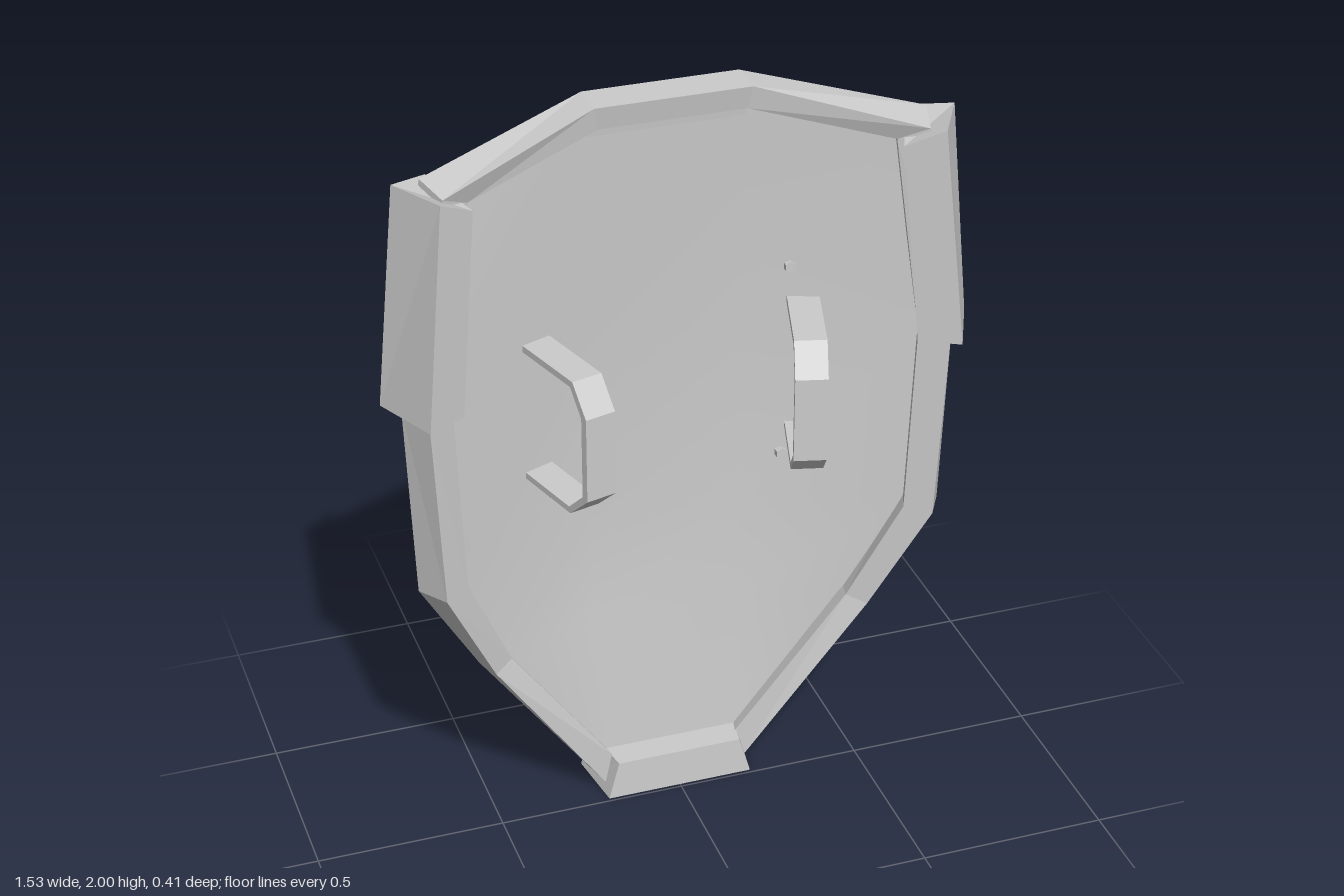
import * as THREE from 'three';

const flatMat = new THREE.MeshStandardMaterial({ color: 0xcccccc, flatShading: true });
const smoothMat = new THREE.MeshStandardMaterial({ color: 0xcccccc, side: THREE.DoubleSide });

// Skins matching loops of points; the ends are capped unless the ring closes.
function loft(loops, closed = false) {
  const tris = [];
  const n = loops[0].length;
  const last = closed ? loops.length : loops.length - 1;
  for (let s = 0; s < last; s++) {
    const a = loops[s], b = loops[(s + 1) % loops.length];
    for (let i = 0; i < n; i++) {
      const j = (i + 1) % n;
      tris.push([a[i], a[j], b[j]], [a[i], b[j], b[i]]);
    }
  }
  if (!closed) {
    const a = loops[0], b = loops[loops.length - 1];
    for (let i = 1; i < n - 1; i++) tris.push([a[0], a[i + 1], a[i]], [b[0], b[i], b[i + 1]]);
  }
  // Turn the faces outward by the sign of the enclosed volume
  const v = tris.map(t => t.map(p => new THREE.Vector3(...p)));
  const volume = v.reduce((sum, [a, b, c]) => sum + a.dot(b.clone().cross(c)), 0);
  const points = v.flatMap(([a, b, c]) => (volume < 0 ? [a, c, b] : [a, b, c]));
  const geo = new THREE.BufferGeometry().setFromPoints(points);
  geo.computeVertexNormals();
  return geo;
}

const mirror = loop => loop.map(([x, y, z]) => [-x, y, z]);
const shiftZ = (loop, d) => loop.map(([x, y, z]) => [x, y, z + d]);

export function createModel() {
  const group = new THREE.Group();
  const add = (name, geo, mat = flatMat) => {
    const mesh = new THREE.Mesh(geo, mat);
    mesh.name = name;
    group.add(mesh);
    return mesh;
  };
  const addPair = (name, loops) => {
    add('left' + name, loft(loops));
    add('right' + name, loft(loops.map(mirror)));
  };

  // Rim: corners run outer front, outer back, inner back, inner front
  const rim = [
    [[0.2, 2.0, -0.05], [0.2, 2.0, -0.155], [0.19, 1.93, -0.155], [0.19, 1.94, -0.06]],
    [[0.61, 1.885, 0.08], [0.64, 1.9, -0.02], [0.57, 1.85, -0.06], [0.54, 1.85, 0.04]],
    [[0.675, 1.32, 0.115], [0.72, 1.32, 0.02], [0.64, 1.32, -0.02], [0.605, 1.32, 0.07]],
    [[0.65, 0.8, 0.11], [0.7, 0.79, 0.02], [0.62, 0.82, -0.02], [0.585, 0.81, 0.07]],
    [[0.51, 0.5, 0.03], [0.53, 0.48, -0.065], [0.48, 0.52, -0.09], [0.46, 0.52, 0.0]],
    [[0.2, 0.03, -0.05], [0.22, 0.03, -0.15], [0.19, 0.1, -0.15], [0.17, 0.1, -0.06]],
  ];
  add('rim', loft([...rim, ...rim.map(mirror).reverse()], true));

  // Smooth inner face: each row holds a centre point and an edge point
  const rows = [
    [[0.18, 0.06, -0.09], [0.19, 0.06, -0.09]],
    [[0.2, 0.5, -0.12], [0.485, 0.5, -0.04]],
    [[0.2, 0.8, -0.14], [0.62, 0.8, 0.03]],
    [[0.2, 1.32, -0.14], [0.64, 1.32, 0.03]],
    [[0.2, 1.96, -0.1], [0.58, 1.87, 0.0]],
  ];
  const pts = [], index = [];
  rows.forEach(([c, e], r) => {
    pts.push(...mirror([e, c]), c, e);
    if (r === 0) return;
    for (let i = 0; i < 3; i++) {
      const a = (r - 1) * 4 + i, b = a + 4;
      index.push(a, a + 1, b + 1, a, b + 1, b);
    }
  });
  const inner = new THREE.BufferGeometry().setFromPoints(pts.map(p => new THREE.Vector3(...p)));
  inner.setIndex(index);
  inner.computeVertexNormals();
  add('innerFace', inner, smoothMat);

  // Raised centre column of the outer shell
  const column = [[0.19, 0.06, -0.15], [0.2, 0.8, -0.2], [0.2, 1.32, -0.2], [0.2, 1.94, -0.14]];
  add('centrePanel', loft(column.map(([x, y, z]) =>
    [[-x, y, z], [x, y, z], [x, y, z + 0.04], [-x, y, z + 0.04]])));

  // Raised middle panels with recessed corner panels above and below
  const panel = (name, back, depth) => addPair(name, [back, shiftZ(back, depth)]);
  panel('MiddlePanel', [[0.2, 0.8, -0.2], [0.63, 0.8, -0.03], [0.65, 1.32, -0.03], [0.2, 1.32, -0.2]], 0.04);
  panel('UpperPanel', [[0.2, 1.32, -0.18], [0.65, 1.32, -0.01], [0.58, 1.87, -0.04], [0.2, 1.95, -0.12]], 0.02);
  panel('LowerPanel', [[0.2, 0.8, -0.18], [0.63, 0.8, -0.01], [0.49, 0.5, -0.08], [0.19, 0.06, -0.13]], 0.02);

  // Thick guards over the upper corners
  addPair('EdgeGuard', [
    [[0.765, 1.32, -0.01], [0.685, 1.32, 0.165], [0.587, 1.32, 0.11], [0.665, 1.32, -0.07]],
    [[0.71, 1.9, -0.01], [0.63, 1.9, 0.135], [0.54, 1.85, 0.085], [0.61, 1.88, -0.08]],
  ]);

  // Foot block
  add('footBlock', loft([
    [[-0.2, 0, -0.01], [0.2, 0, -0.01], [0.225, 0, -0.185], [-0.225, 0, -0.185]],
    [[-0.17, 0.105, -0.015], [0.17, 0.105, -0.015], [0.2, 0.105, -0.185], [-0.2, 0.105, -0.185]],
  ]));

  // Bent strap handles: (height, reach) along the strap, outer then inner line
  const strap = [
    [[1.39, -0.09], [1.372, -0.09]],
    [[1.39, 0.145], [1.372, 0.135]],
    [[1.31, 0.2], [1.305, 0.18]],
    [[1.08, 0.2], [1.085, 0.18]],
    [[1.01, 0.125], [1.027, 0.12]],
    [[1.01, -0.09], [1.027, -0.09]],
  ];
  const place = (y, reach, side) =>
    [0.33 - 0.29 * reach + 0.04 * side, y, reach - 0.005 + 0.0105 * side];
  addPair('Handle', strap.map(([o, i]) =>
    [place(...o, -1), place(...o, 1), place(...i, 1), place(...i, -1)]));

  // Small rivets beside the handles
  for (const [x, y] of [[0.32, 1.475], [0.305, 0.935], [-0.31, 0.935]]) {
    const rivet = add('rivet', new THREE.CylinderGeometry(0.016, 0.016, 0.03, 6));
    rivet.rotation.x = Math.PI / 2;
    rivet.position.set(x, y, -0.1);
  }
  return group;
}
